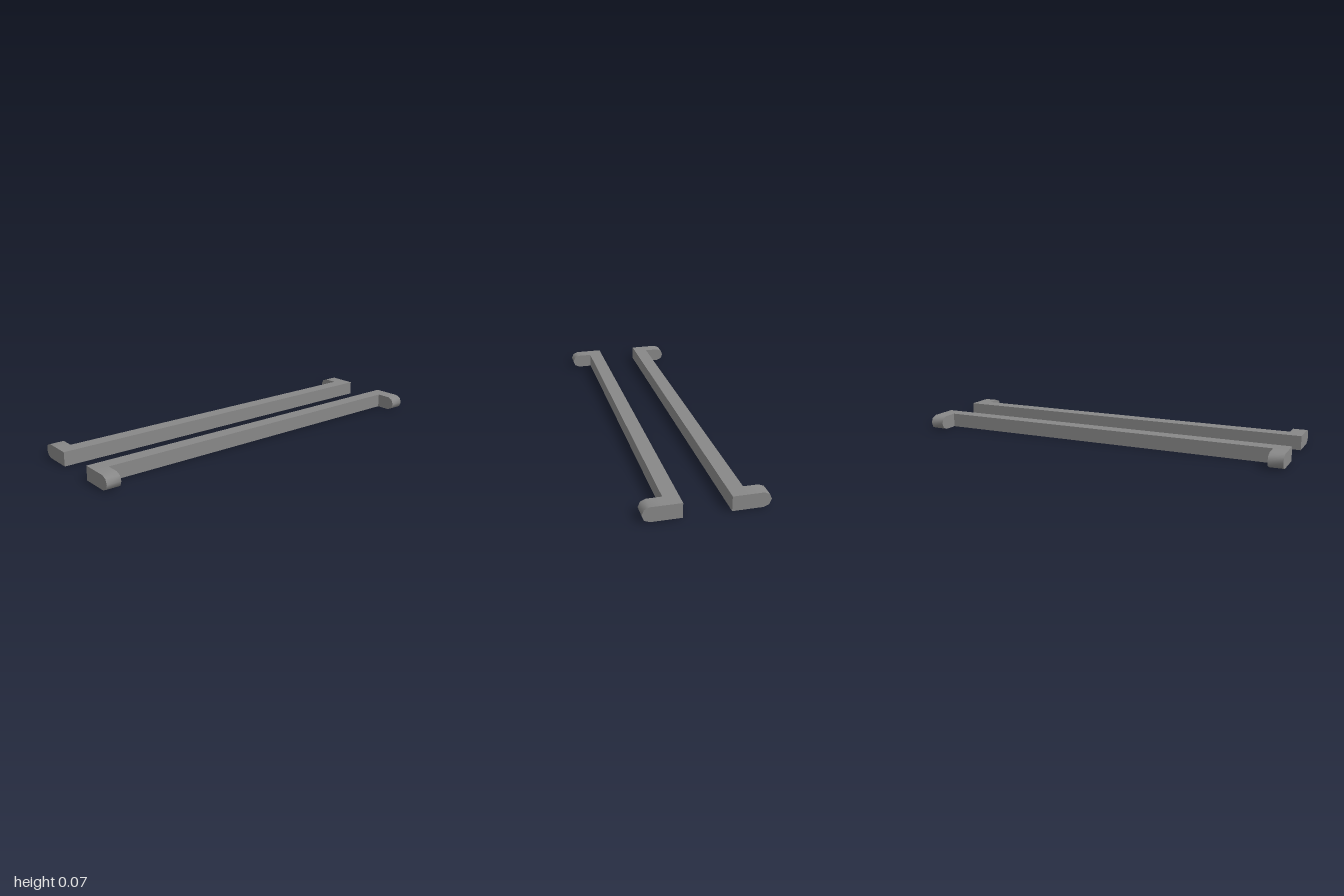
import * as THREE from 'three';
import { toCreasedNormals } from 'three/addons/utils/BufferGeometryUtils.js';

const SIZE = 0.074; // square section of the bar and feet
const INNER = 0.112; // inner face of each bar
const OUTER = INNER + SIZE;
const R = SIZE / 2;
const ROUND_X = 0.296 - R; // centre of the rounded foot end

// Foot with a half-octagon end, extruded along z
function footGeometry() {
  const shape = new THREE.Shape();
  shape.moveTo(OUTER, 0);
  for (let i = 0; i <= 4; i++) {
    const a = -Math.PI / 2 + (i * Math.PI) / 4;
    shape.lineTo(ROUND_X + R * Math.cos(a), R + R * Math.sin(a));
  }
  shape.lineTo(OUTER, SIZE);
  shape.closePath();
  const geo = new THREE.ExtrudeGeometry(shape, { depth: SIZE, bevelEnabled: false });
  return toCreasedNormals(geo, 0.9);
}

export function createModel() {
  const model = new THREE.Group();
  model.name = 'handlePair';
  const grey = new THREE.MeshStandardMaterial({ color: 0x888888 });
  grey.name = 'grey';

  const barGeo = new THREE.BoxGeometry(SIZE, SIZE, 2);
  const footGeo = footGeometry();

  // One handle per side, the second turned half round
  for (const side of ['left', 'right']) {
    const handle = new THREE.Group();
    handle.name = side + 'Handle';

    const bar = new THREE.Mesh(barGeo, grey);
    bar.name = side + 'Bar';
    bar.position.set(INNER + R, R, 0);
    handle.add(bar);

    // Feet pointing outwards at both ends
    [-1, 1 - SIZE].forEach((z, i) => {
      const foot = new THREE.Mesh(footGeo, grey);
      foot.name = side + 'Foot' + (i + 1);
      foot.position.z = z;
      handle.add(foot);
    });

    if (side === 'right') handle.rotation.y = Math.PI;
    model.add(handle);
  }
  return model;
}
